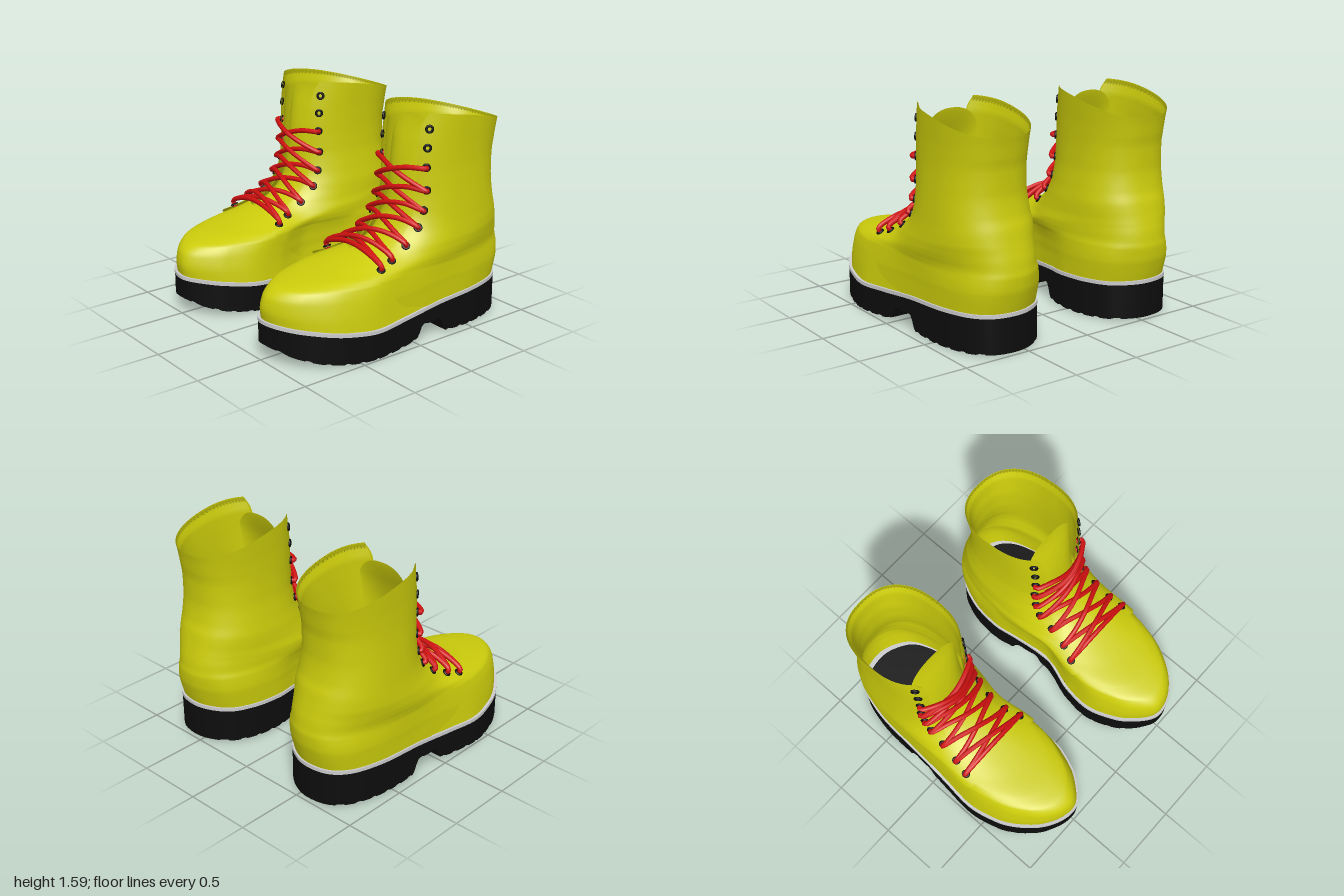
import * as THREE from 'three';
import { ParametricGeometry } from 'three/addons/geometries/ParametricGeometry.js';

const mat = (color, side = THREE.FrontSide) => new THREE.MeshStandardMaterial({ color, side });
const YELLOW = mat(0xcccc0c, THREE.DoubleSide);
const BLACK = mat(0x0d0d0d);
const WELT = mat(0xcccccc);
const RED = mat(0xd01010);
const { lerp, clamp, smoothstep } = THREE.MathUtils;

// Smooth monotone interpolation through [x, y] points
function curve(pts) {
  const n = pts.length;
  const sec = i => (pts[i + 1][1] - pts[i][1]) / (pts[i + 1][0] - pts[i][0]);
  const m = pts.map((_, i) => {
    if (i === 0) return sec(0);
    if (i === n - 1) return sec(n - 2);
    const a = sec(i - 1), b = sec(i);
    return a * b > 0 ? (2 * a * b) / (a + b) : 0;
  });
  return x => {
    x = clamp(x, pts[0][0], pts[n - 1][0]);
    let i = 0;
    while (i < n - 2 && x > pts[i + 1][0]) i++;
    const h = pts[i + 1][0] - pts[i][0], s = (x - pts[i][0]) / h;
    const s2 = s * s, s3 = s2 * s;
    return (2 * s3 - 3 * s2 + 1) * pts[i][1] + (s3 - 2 * s2 + s) * h * m[i]
      + (3 * s2 - 2 * s3) * pts[i + 1][1] + (s3 - s2) * h * m[i + 1];
  };
}

// Footprint edge: x along z, interpolated by angle so that toe and heel close round
const phi = z => Math.asin(clamp((z - 0.01) / 0.98, -1, 1));
function edge(pts) {
  const f = curve(pts.map(([z, x]) => [phi(z), x]));
  return z => f(phi(z));
}
const innerX = edge([[-0.97, 0.58], [-0.94, 0.45], [-0.85, 0.32], [-0.75, 0.265], [-0.6, 0.225], [-0.45, 0.215],
  [-0.25, 0.245], [-0.05, 0.275], [0.05, 0.28], [0.15, 0.255], [0.3, 0.205], [0.5, 0.182], [0.75, 0.25], [0.92, 0.375], [0.99, 0.51]]);
const outerX = edge([[-0.97, 0.58], [-0.95, 0.71], [-0.88, 0.81], [-0.75, 0.88], [-0.5, 0.93], [-0.2, 0.945],
  [0.1, 0.965], [0.35, 0.985], [0.6, 0.94], [0.84, 0.8], [0.95, 0.66], [0.99, 0.51]]);

// Heights of sole top and bottom along z
const soleTop = curve([[-0.97, 0.27], [-0.3, 0.25], [0.1, 0.215], [0.35, 0.2], [0.55, 0.215], [0.8, 0.25], [1, 0.28]]);
const soleBottom = curve([[-0.97, 0.01], [-0.6, 0.005], [-0.29, 0.02], [-0.23, 0.125], [-0.06, 0.125], [-0.01, 0.045],
  [0.15, 0.015], [0.45, 0.005], [0.7, 0.025], [0.88, 0.07], [1, 0.13]]);

// Upper rows, from welt to collar:
// front z, front y, back z, back y, centre x, half width, footprint share, angle of the flap edge
const ROWS = [
  [0.97, 0.285, -0.95, 0.27, 0.57, 0.38, 1, 1.68],
  [0.982, 0.37, -0.968, 0.36, 0.57, 0.38, 1, 1.48],
  [0.965, 0.45, -0.982, 0.45, 0.57, 0.375, 0.85, 1.39],
  [0.9, 0.51, -0.985, 0.51, 0.57, 0.365, 0.55, 1.25],
  [0.75, 0.543, -0.977, 0.56, 0.575, 0.358, 0.25, 1.08],
  [0.5, 0.575, -0.967, 0.62, 0.58, 0.352, 0.08, 0.8],
  [0.28, 0.622, -0.952, 0.68, 0.585, 0.345, 0, 0.62],
  [0.12, 0.685, -0.937, 0.74, 0.59, 0.338, 0, 0.56],
  [0.0, 0.775, -0.918, 0.82, 0.59, 0.33, 0, 0.53],
  [-0.065, 0.9, -0.89, 0.91, 0.595, 0.317, 0, 0.545],
  [-0.085, 1.06, -0.87, 1.06, 0.6, 0.303, 0, 0.56],
  [-0.085, 1.22, -0.873, 1.2, 0.6, 0.298, 0, 0.55],
  [-0.09, 1.36, -0.888, 1.3, 0.6, 0.3, 0, 0.55],
  [-0.105, 1.48, -0.9, 1.38, 0.6, 0.305, 0, 0.57],
  [-0.12, 1.58, -0.91, 1.43, 0.6, 0.309, 0, 0.7],
];
const TOP = ROWS.length - 1;
const [frontZ, frontY, backZ, backY, midX, halfX, footShare, flapAngle] =
  ROWS[0].map((_, c) => curve(ROWS.map((r, i) => [i, r[c]])));

// Point on the upper at row t and angle a (0 = front, positive toward +x), offset outward by d
const spow = v => Math.sign(v) * Math.abs(v) ** (2 / 2.4);
function upperPoint(t, a, d, out = new THREE.Vector3()) {
  const cz = spow(Math.cos(a)), sx = spow(Math.sin(a)), q = (cz + 1) / 2;
  const z = lerp(backZ(t), frontZ(t), q);
  const zs = lerp(-0.97, 0.99, q);
  const foot = (sx >= 0 ? outerX(zs) : innerX(zs)) - (0.015 + 0.02 * t * q) * sx;
  const waist = (sx < 0 ? 0.055 : 0.02) * Math.exp(-(((z - 0.06) / 0.2) ** 2)) * (1 - smoothstep(t, 5.5, 9));
  const x = lerp(midX(t) + (halfX(t) - waist) * sx, foot, footShare(t));
  const s = Math.sin(q * Math.PI / 2);
  const dip = (soleTop(z) - lerp(0.27, 0.285, s)) * Math.max(0, 1 - t / 3);
  const y = lerp(backY(t), frontY(t), s) + dip;
  const e = d * Math.min(1, (t + 0.5) / 2);
  return out.set(x + e * sx, y + d * Math.min(1, t / 3), z + e * cz);
}
function upperNormal(t, a) {
  const e = 0.01, p = (u, v) => upperPoint(u, v, 0.015);
  const du = p(t, a + e).sub(p(t, a - e)), dv = p(t + e, a).sub(p(t - e, a));
  return du.cross(dv).normalize();
}

function add(group, name, geometry, material) {
  const mesh = new THREE.Mesh(geometry, material);
  mesh.name = name;
  group.add(mesh);
  return mesh;
}

// Slab with the footprint outline between two height functions
function slab(low, high, scale) {
  const g = new THREE.BoxGeometry(1, 1, 1, 6, 1, 150), p = g.attributes.position;
  for (let i = 0; i < p.count; i++) {
    const z = 0.01 + 0.98 * Math.sin(p.getZ(i) * Math.PI);
    const l = innerX(z), r = outerX(z);
    p.setXYZ(i, (l + r) / 2 + p.getX(i) * (r - l) * scale, p.getY(i) > 0 ? high(z) : low(z), z * scale);
  }
  g.computeVertexNormals();
  return g;
}

// Eyelets from bottom to top: row and angle
const EYELETS = [[4.95, 0.93], [5.75, 0.85], [6.95, 0.76], [8.12, 0.74], [9.02, 0.75], [9.9, 0.78], [10.9, 0.77], [11.87, 0.77], [12.95, 0.76]];

function lace(i, j, side, lift) {
  const [ta, aa] = EYELETS[i], [tb, ab] = EYELETS[j];
  const A = upperPoint(ta, side * aa, 0.015), B = upperPoint(tb, -side * ab, 0.015);
  const nA = upperNormal(ta, side * aa), nB = upperNormal(tb, -side * ab);
  const k = (i + j) / 12;
  const bulge = new THREE.Vector3(0, lerp(0.12, 0.03, k) + lift * (1 - k), lerp(0.02, 0.11, k) + lift * k);
  const over = (f, h) => A.clone().lerp(B, f).addScaledVector(bulge, h);
  const path = new THREE.CatmullRomCurve3([
    A.clone().addScaledVector(nA, -0.015), A.clone().addScaledVector(nA, 0.03),
    over(0.2, 0.75), over(0.5, 1), over(0.8, 0.75),
    B.clone().addScaledVector(nB, 0.03), B.clone().addScaledVector(nB, -0.015)]);
  return new THREE.TubeGeometry(path, 32, 0.018, 8);
}

function createBoot() {
  const boot = new THREE.Group();

  // Lugged sole, welt and insole
  const tread = z => soleBottom(z) + (Math.sin(z * 55) > 0.55 ? 0.008 : 0);
  add(boot, 'sole', slab(tread, soleTop, 1), BLACK);
  add(boot, 'welt', slab(z => soleTop(z) - 0.008, z => soleTop(z) + 0.018, 1.003), WELT);
  add(boot, 'insole', slab(soleTop, z => soleTop(z) + 0.03, 0.94), BLACK);

  // Vamp: closed rings over the toe
  add(boot, 'vamp', new ParametricGeometry((u, v, p) =>
    upperPoint(v * 6.2, (u - 0.5) * 2 * Math.PI, 0, p), 72, 36), YELLOW);

  // Quarters and shaft: wrap round the back, then fold over the collar into the lining
  add(boot, 'shaft', new ParametricGeometry((u, v, p) => {
    const t = v < 0.7 ? TOP * v / 0.7 : lerp(TOP, 5.5, (v - 0.7) / 0.3);
    const a0 = flapAngle(t);
    upperPoint(t, lerp(a0, 2 * Math.PI - a0, u), v < 0.7 ? 0.015 : lerp(0.015, -0.008, Math.min(1, (v - 0.7) * 30)), p);
  }, 72, 80), YELLOW);

  // Tongue: leans back toward its rounded top
  add(boot, 'tongue', new ParametricGeometry((u, v, p) => {
    const w = u * 2 - 1, t = lerp(5, 13.9 - 1.2 * w * w, v);
    upperPoint(t, w * 0.8, -0.03, p);
    p.z -= 0.11 * smoothstep(t, 9, 14) * (1 - 0.7 * w * w);
  }, 20, 36), YELLOW);

  // Eyelets on both flaps
  const ring = new THREE.TorusGeometry(0.022, 0.009, 8, 16);
  const forward = new THREE.Vector3(0, 0, 1);
  for (const [t, a] of EYELETS) for (const side of [-1, 1]) {
    const n = upperNormal(t, side * a);
    const eyelet = add(boot, 'eyelet', ring, BLACK);
    eyelet.position.copy(upperPoint(t, side * a, 0.015)).addScaledVector(n, 0.003);
    eyelet.quaternion.setFromUnitVectors(forward, n);
  }

  // Laces: one straight bar, then crossings up to the seventh pair
  add(boot, 'laceBar', lace(0, 0, 1, 0), RED);
  for (let i = 0; i < 6; i++) {
    add(boot, 'laceCross', lace(i, i + 1, 1, 0), RED);
    add(boot, 'laceCross', lace(i, i + 1, -1, 0.028), RED);
  }
  return boot;
}

export function createModel() {
  const model = new THREE.Group();
  model.name = 'boots';
  const left = createBoot();
  left.name = 'leftBoot';
  const right = left.clone();
  right.name = 'rightBoot';
  right.scale.x = -1;
  model.add(left, right);
  return model;
}
